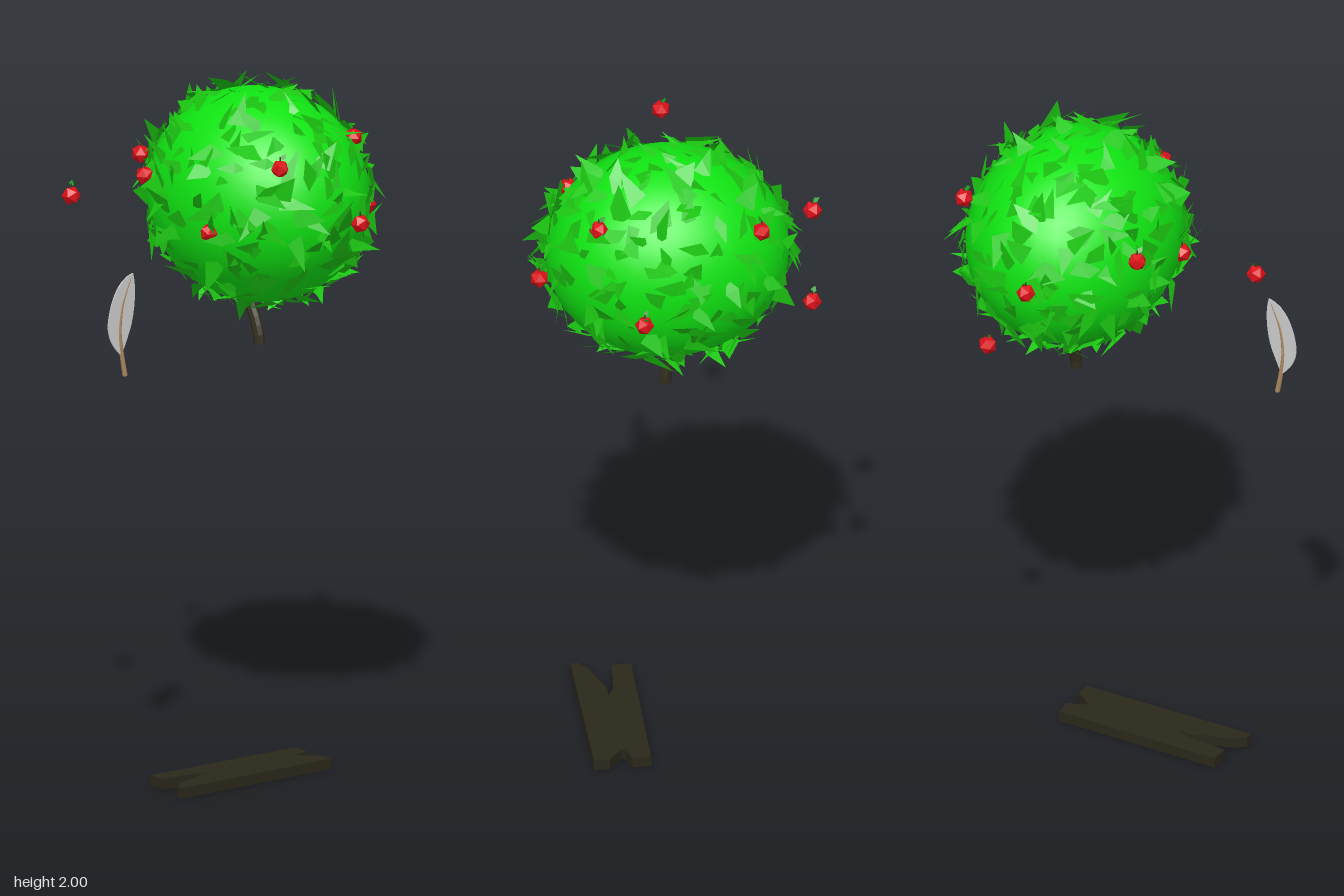
import * as THREE from 'three';

const mat = (color, opts = {}) => new THREE.MeshStandardMaterial({ color, ...opts });
const CROWN = new THREE.Vector3(0.155, 1.665, 0.024);
const RADII = new THREE.Vector3(0.3, 0.308, 0.35);

function seeded(seed) {
  return () => {
    seed = (seed * 1664525 + 1013904223) >>> 0;
    return seed / 4294967296;
  };
}

function mesh(name, geometry, material) {
  const m = new THREE.Mesh(geometry, material);
  m.name = name;
  return m;
}

// Loose angular shards of mixed size spread over the crown
function leafGeometry(count) {
  const rnd = seeded(17);
  const pos = [];
  for (let i = 0; i < count; i++) {
    const y = 1 - (2 * (i + 0.5)) / count;
    const a = i * 2.39996 + (rnd() - 0.5) * 0.8;
    const r = Math.sqrt(1 - y * y);
    const dir = new THREE.Vector3(r * Math.cos(a), y, r * Math.sin(a));
    const n = dir.clone().divide(RADII).normalize();
    const q = new THREE.Quaternion().setFromUnitVectors(new THREE.Vector3(0, 0, 1), n);
    q.multiply(new THREE.Quaternion().setFromEuler(
      new THREE.Euler(0.1 + rnd() * 0.55, (rnd() - 0.5) * 0.6, rnd() * 6.283, 'ZXY')));
    const base = dir.multiply(RADII).addScaledVector(n, 0.004).add(CROWN);
    const len = 0.045 + rnd() * 0.055, w = 0.014 + rnd() * 0.022;
    const corner = (x, yy, z) => new THREE.Vector3(x, yy, z).applyQuaternion(q).add(base);
    const root = corner(-w * 0.8, -0.022, 0);
    const left = corner(-w * 0.7, len * 0.35, 0);
    const right = corner(w, len * 0.1 * (rnd() - 0.5), 0.004);
    const tip = corner((rnd() - 0.5) * 0.06, len, 0.002);
    for (const p of [root, right, left, right, tip, left]) {
      pos.push(p.x, Math.min(p.y, 1.998), p.z);
    }
  }
  const g = new THREE.BufferGeometry();
  g.setAttribute('position', new THREE.Float32BufferAttribute(pos, 3));
  g.computeVertexNormals();
  return g;
}

function tree() {
  const g = new THREE.Group();
  g.name = 'tree';
  const ball = mesh('crown', new THREE.SphereGeometry(1, 32, 24), mat(0x10e412));
  ball.scale.copy(RADII);
  ball.position.copy(CROWN);
  g.add(ball);
  g.add(mesh('leaves', leafGeometry(340),
    mat(0x1cc812, { side: THREE.DoubleSide, flatShading: true })));
  // Short curved trunk
  const path = new THREE.CatmullRomCurve3([
    new THREE.Vector3(0.155, 1.223, 0.03), new THREE.Vector3(0.155, 1.25, 0.027),
    new THREE.Vector3(0.155, 1.29, 0.013), new THREE.Vector3(0.155, 1.34, -0.012),
    new THREE.Vector3(0.155, 1.42, -0.03)]);
  const bark = mat(0x322d1c, { flatShading: true });
  g.add(mesh('trunk', new THREE.TubeGeometry(path, 8, 0.017, 8), bark));
  const cap = mesh('trunkEnd', new THREE.CircleGeometry(0.017, 8), bark);
  cap.position.set(0.155, 1.2235, 0.03);
  cap.rotation.x = Math.PI / 2;
  g.add(cap);
  return g;
}

const appleGeo = new THREE.IcosahedronGeometry(0.028, 0);
const stemGeo = new THREE.CylinderGeometry(0.002, 0.003, 0.014, 5);
const appleLeafGeo = new THREE.ShapeGeometry(new THREE.Shape([
  new THREE.Vector2(0, 0), new THREE.Vector2(0.014, -0.006),
  new THREE.Vector2(0.026, 0.004), new THREE.Vector2(0.011, 0.011)]));
const red = mat(0xdc1018, { flatShading: true });
const stemMat = mat(0x4a3a20);
const leafMat = mat(0x1a9a1a, { side: THREE.DoubleSide });

function apple(x, y, z, turn) {
  const g = new THREE.Group();
  g.name = 'apple';
  g.add(mesh('appleFruit', appleGeo, red));
  const stem = mesh('appleStem', stemGeo, stemMat);
  stem.position.y = 0.028;
  const leaf = mesh('appleLeaf', appleLeafGeo, leafMat);
  leaf.position.y = 0.025;
  leaf.rotation.set(-0.7, 0, 0.8);
  g.add(stem, leaf);
  g.position.set(x, y, z);
  g.rotation.y = turn;
  return g;
}

// Upright feather: thin vane with a curved, tapering shaft
function feather() {
  const g = new THREE.Group();
  g.name = 'feather';
  const s = new THREE.Shape();
  s.moveTo(-0.45, 1.31);
  s.bezierCurveTo(-0.475, 1.335, -0.5, 1.36, -0.498, 1.41);
  s.bezierCurveTo(-0.492, 1.46, -0.47, 1.535, -0.408, 1.548);
  s.bezierCurveTo(-0.396, 1.51, -0.4, 1.43, -0.42, 1.38);
  s.lineTo(-0.45, 1.31);
  const vane = mesh('vane', new THREE.ExtrudeGeometry(s,
    { depth: 0.004, bevelEnabled: false, curveSegments: 8 }), mat(0xcccccc));
  vane.position.z = 0.154;
  g.add(vane);
  const curve = new THREE.CatmullRomCurve3(
    [[-0.436, 1.25], [-0.447, 1.31], [-0.455, 1.38], [-0.445, 1.46], [-0.415, 1.535]]
      .map(([x, y]) => new THREE.Vector3(x, y, 0.156)));
  const shaft = new THREE.TubeGeometry(curve, 16, 0.0075, 6);
  const p = shaft.attributes.position;
  for (let i = 0; i <= 16; i++) {
    const c = curve.getPointAt(i / 16);
    for (let j = 0; j <= 6; j++) {
      const v = new THREE.Vector3().fromBufferAttribute(p, i * 7 + j).sub(c);
      v.multiplyScalar(1 - 0.65 * i / 16).add(c);
      p.setXYZ(i * 7 + j, v.x, v.y, v.z);
    }
  }
  g.add(mesh('shaft', shaft, mat(0xb08c62, { side: THREE.DoubleSide })));
  return g;
}

// Plank outline in x, z, raised to the board thickness
function plank(name, outline) {
  const shape = new THREE.Shape(outline.map(([x, z]) => new THREE.Vector2(x, -z)));
  const geo = new THREE.ExtrudeGeometry(shape, { depth: 0.031, bevelEnabled: false });
  geo.rotateX(-Math.PI / 2);
  return mesh(name, geo, mat(0x2a271a, { flatShading: true }));
}

export function createModel() {
  const model = new THREE.Group();
  model.name = 'floatingTree';
  model.add(tree(), feather());
  const spots = [
    [-0.478, 1.748, -0.038], [0.068, 1.71, -0.405], [0.205, 1.49, -0.387],
    [0.38, 1.84, -0.22], [-0.138, 1.735, -0.128], [-0.125, 1.62, 0.15],
    [0.022, 1.812, 0.292], [0.228, 1.64, 0.4], [0.328, 1.848, 0.242], [0.468, 1.605, 0.128]];
  spots.forEach(([x, y, z], i) => model.add(apple(x, y, z, i * 0.9)));
  // Two worn boards meeting along the middle, split at both ends
  model.add(plank('backPlank', [
    [-0.277, 0.073], [-0.277, 0.13], [-0.15, 0.14], [-0.11, 0.158],
    [0.19, 0.158], [0.205, 0.145], [0.245, 0.135], [0.24, 0.08]]));
  model.add(plank('frontPlank', [
    [-0.298, 0.222], [-0.298, 0.245], [0.245, 0.245], [0.245, 0.2],
    [0.21, 0.175], [0.19, 0.158], [-0.15, 0.158], [-0.21, 0.18], [-0.262, 0.195]]));
  return model;
}
